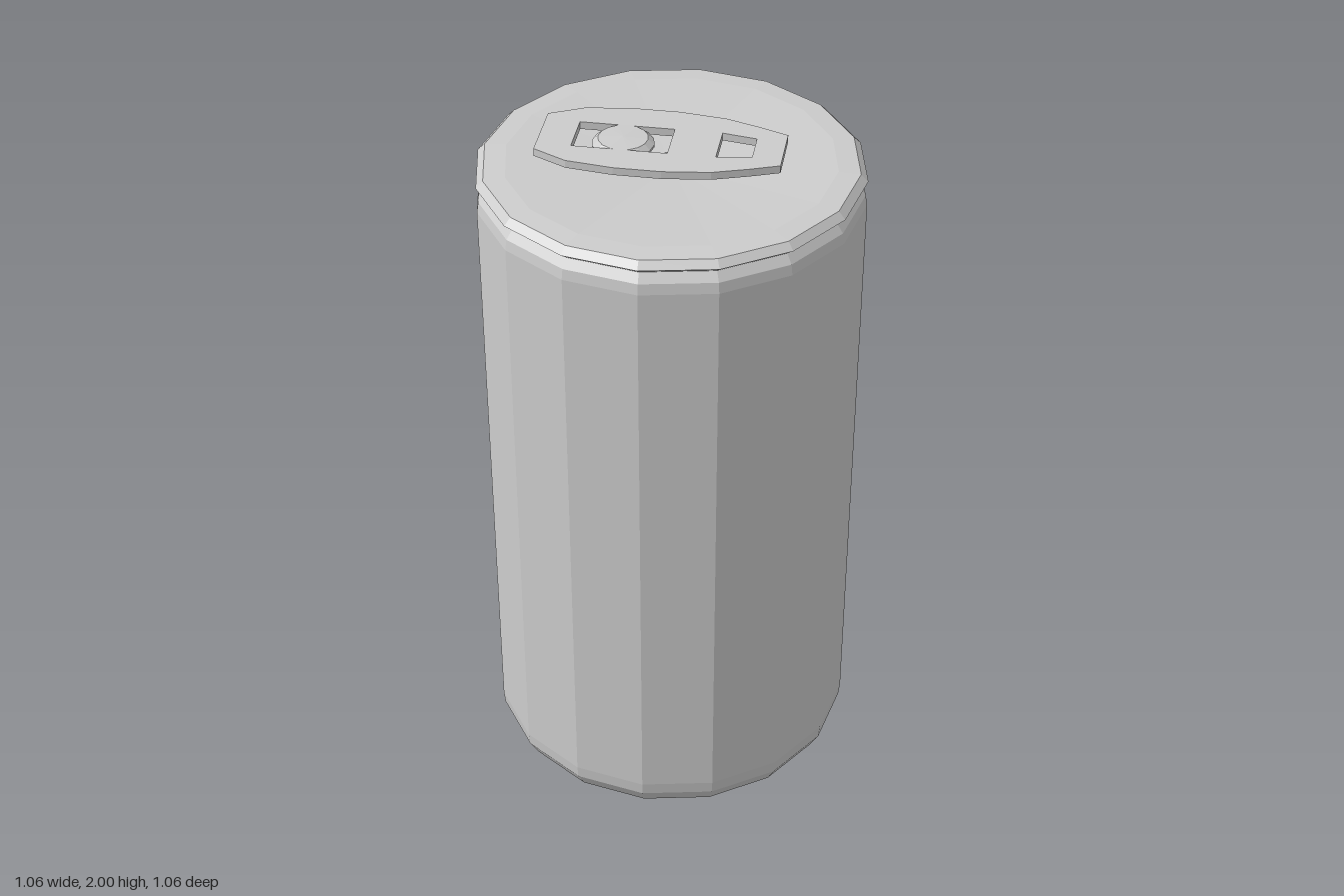
import * as THREE from 'three';

const aluminium = new THREE.MeshStandardMaterial({ color: 0xcccccc, flatShading: true, side: THREE.DoubleSide });

// Faceted surface of revolution from [radius, height] pairs, listed bottom to top
function turned(name, profile, sides) {
  const points = profile.map(([r, y]) => new THREE.Vector2(r, y));
  const mesh = new THREE.Mesh(new THREE.LatheGeometry(points, sides), aluminium);
  mesh.name = name;
  return mesh;
}

const outline = (pairs) => pairs.map(([x, y]) => new THREE.Vector2(x, y));

// Closed outline mirrored across the long axis of the tab
const mirrored = (half) => outline([...half, ...half.map(([x, y]) => [x, -y]).reverse()]);

export function createModel() {
  const can = new THREE.Group();
  can.name = 'drinkCan';

  // Open underside: hole edge, inner slope, foot ring, rounded lower edge
  can.add(turned('base', [
    [0.245, 0.066], [0.33, 0.018], [0.43, 0.0], [0.5, 0.03], [0.528, 0.08],
  ], 16));

  // Straight wall and shoulder
  can.add(turned('body', [
    [0.528, 0.08], [0.532, 0.12], [0.532, 1.85], [0.527, 1.88], [0.508, 1.905],
  ], 16));

  // Seam bead around the top
  can.add(turned('rim', [[0.508, 1.905], [0.532, 1.923], [0.512, 1.943]], 16));

  // Shallow lid with a small central hole
  can.add(turned('lid', [[0.512, 1.943], [0.452, 1.946], [0.066, 1.925]], 16));

  // Pull tab with a square rivet window and a tapered finger hole
  const tabShape = new THREE.Shape(mirrored([
    [-0.355, 0.097], [-0.26, 0.145], [-0.13, 0.162], [0, 0.162],
    [0.13, 0.145], [0.225, 0.113], [0.305, 0.082],
  ]));
  tabShape.holes.push(
    new THREE.Path(mirrored([[-0.26, 0.065], [0, 0.065]])),
    new THREE.Path(mirrored([[0.13, 0.065], [0.225, 0.049]])),
  );
  const tabGeometry = new THREE.ExtrudeGeometry(tabShape, { depth: 0.022, bevelEnabled: false });
  tabGeometry.rotateX(-Math.PI / 2);
  const tab = new THREE.Mesh(tabGeometry, aluminium);
  tab.name = 'pullTab';
  tab.position.y = 1.975;
  can.add(tab);

  // Rivet holding the tab
  const rivet = turned('rivet', [
    [0, 1.953], [0.062, 1.955], [0.085, 1.975], [0.085, 1.982], [0.068, 1.997], [0, 2.0],
  ], 16);
  rivet.position.x = -0.13;
  can.add(rivet);

  return can;
}
